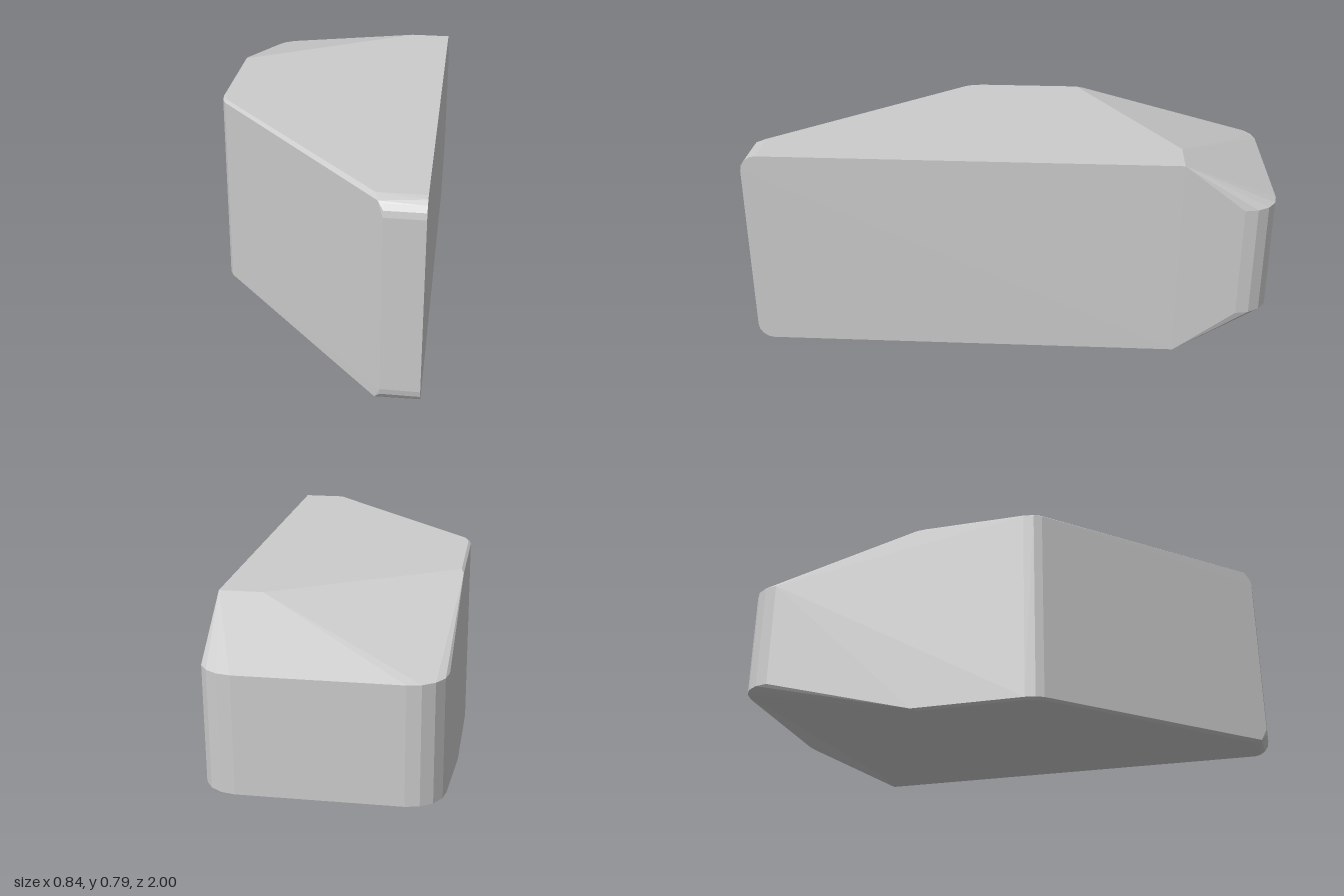
import * as THREE from 'three';
import { ConvexGeometry } from 'three/addons/geometries/ConvexGeometry.js';

const HEIGHT = 0.785;

export function createModel() {
  const model = new THREE.Group();
  const points = [];

  // Upper half point plus its mirror about the middle height
  const add = (x, y, z) => {
    points.push(new THREE.Vector3(x, y, z), new THREE.Vector3(x, HEIGHT - y, z));
  };

  // Rounded upper and lower edges of the narrow front end
  const steps = 4;
  for (let i = 0; i <= steps; i++) {
    const a = (i / steps) * Math.PI / 2;
    const y = HEIGHT - 0.06 + 0.06 * Math.cos(a);
    const z = 0.94 + 0.06 * Math.sin(a);
    add(0.42, y, z);
    if (i > 1) add(0.28, y, z);
  }

  // Slanted side with its thin bevel, rounding into the short straight side
  add(0.25, HEIGHT, 0.94);
  add(0.26, 0.774, 0.977);
  for (const [x, z] of [[-0.40, 0.24], [-0.414, 0.21], [-0.42, 0.17]]) {
    add(x, 0.776, z);
    add(x + 0.01, HEIGHT, z - 0.005);
  }

  // Ridge where the flat top meets the sloping back
  add(-0.41, HEIGHT, -0.24);
  add(-0.42, 0.776, -0.27);
  add(0.26, HEIGHT, -0.64);
  add(0.42, HEIGHT, -0.64);

  // Rim of the back end, with rounded vertical corners
  for (const side of [-1, 1]) {
    for (let i = 0; i <= steps; i++) {
      const a = (i / steps) * Math.PI / 2;
      add(side * (0.29 + 0.13 * Math.cos(a)), 0.61, -0.87 - 0.13 * Math.sin(a));
    }
  }

  const body = new THREE.Mesh(
    new ConvexGeometry(points),
    new THREE.MeshStandardMaterial({ color: 0xcccccc, flatShading: true })
  );
  body.name = 'wedgeBlock';
  model.add(body);
  return model;
}
